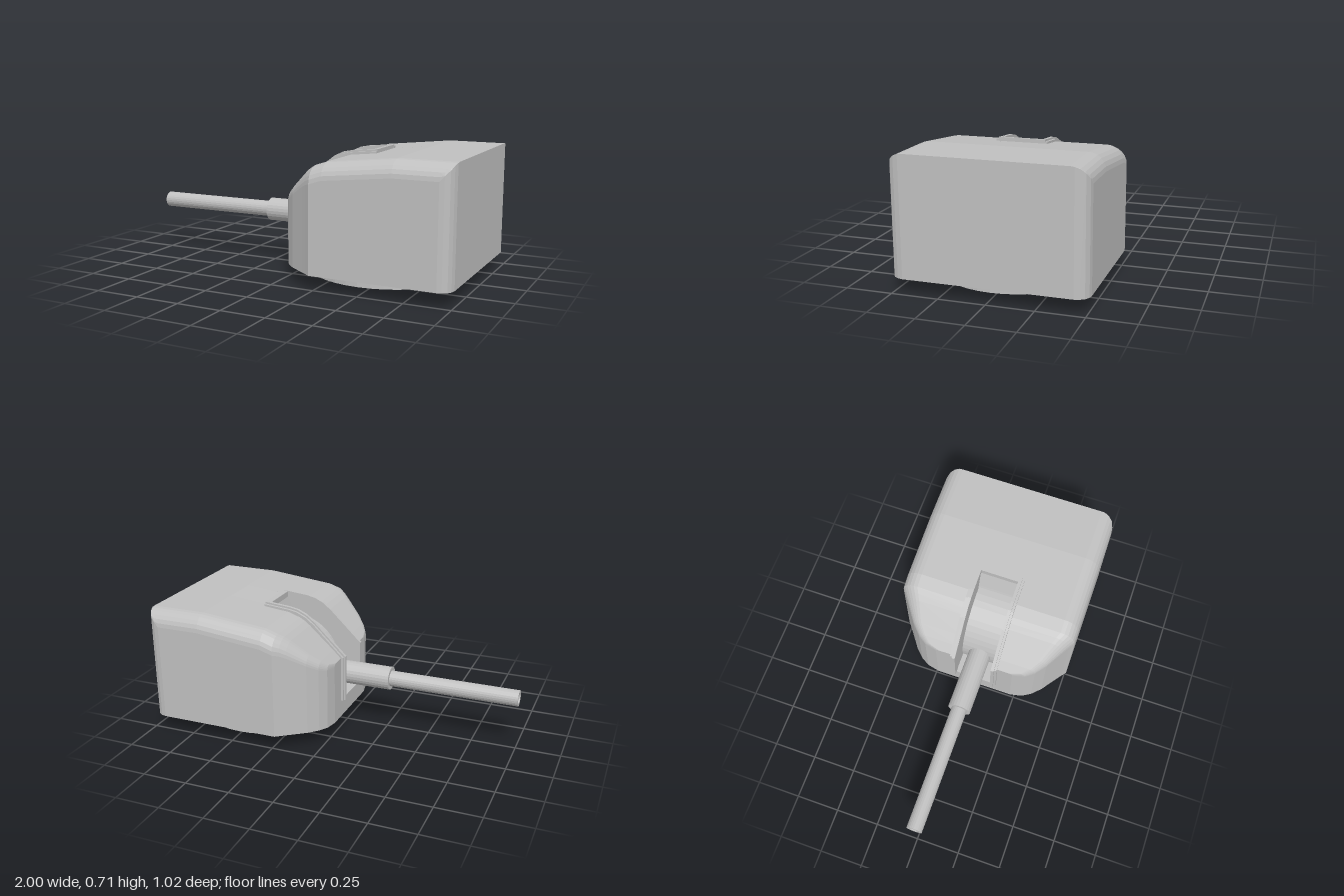
import * as THREE from 'three';

const grey = new THREE.MeshStandardMaterial({ color: 0xc0c0c0 });
grey.name = 'plain grey';

// Faceted mesh helper
function part(name, geometry, parent) {
  const g = geometry.index ? geometry.toNonIndexed() : geometry;
  g.computeVertexNormals();
  const mesh = new THREE.Mesh(g, grey);
  mesh.name = name;
  parent.add(mesh);
  return mesh;
}

// Side profile (x, y) extruded across z0..z1
function slab(points, z0, z1) {
  const shape = new THREE.Shape(points.map(([x, y]) => new THREE.Vector2(x, y)));
  return new THREE.ExtrudeGeometry(shape, { depth: z1 - z0, bevelEnabled: false }).translate(0, 0, z0);
}

const SLOT = 0.11, BASE = 0.08;

// Hull stations: x, half width, half width the edge rounding follows, roof height, rounding radius
const STATIONS = [
  [-0.015, 0.23, 0.23, 0.44, 0.02],
  [0, 0.3, 0.3, 0.455, 0.03],
  [0.03, 0.35, 0.35, 0.485, 0.04],
  [0.08, 0.4, 0.4, 0.53, 0.05],
  [0.17, 0.465, 0.465, 0.612, 0.075],
  [0.2, 0.487, 0.487, 0.635, 0.082],
  [0.23, 0.51, 0.51, 0.652, 0.09],
  [0.3, 0.51, 0.51, 0.675, 0.09],
  [0.68, 0.51, 0.51, 0.715, 0.09],
  [0.925, 0.51, 0.51, 0.715, 0.09],
  [0.95, 0.505, 0.51, 0.715, 0.09],
  [0.975, 0.49, 0.51, 0.715, 0.09],
  [0.988, 0.467, 0.51, 0.715, 0.09],
  [0.995, 0.44, 0.51, 0.715, 0.09],
];

// One half of the hull beside the gun slot, lofted along x
function hullSide(side) {
  const steps = 6, count = steps + 4, pos = [], idx = [];
  for (const [x, w, ref, top, r] of STATIONS) {
    const loop = [[SLOT, BASE], [SLOT, top]];
    for (let i = 0; i <= steps; i++) {
      const t = Math.min(r * Math.sin((i / steps) * Math.PI / 2), Math.max(0, w - ref + r));
      loop.push([Math.min(ref - r + t, w), top - r + Math.sqrt(Math.max(0, r * r - t * t))]);
    }
    loop.push([w, BASE]);
    for (const [z, y] of loop) pos.push(x, y, z * side);
  }
  const tri = (a, b, c) => (side > 0 ? idx.push(a, b, c) : idx.push(a, c, b));
  const last = (STATIONS.length - 1) * count;
  for (let i = 0; i < last; i += count) {
    for (let j = 0; j < count; j++) {
      const k = (j + 1) % count;
      tri(i + j, i + k, i + count + k);
      tri(i + j, i + count + k, i + count + j);
    }
  }
  for (let j = 1; j < count - 1; j++) {
    tri(0, j + 1, j);
    tri(last, last + j, last + j + 1);
  }
  const g = new THREE.BufferGeometry();
  g.setAttribute('position', new THREE.Float32BufferAttribute(pos, 3));
  g.setIndex(idx);
  return g;
}

// Slot rim side profile; drop lowers its outer edge
function rimProfile(drop) {
  return [
    [0.01, 0.18], [0.01, 0.42], [0.2, 0.61], [0.3, 0.655], [0.45, 0.68],
    [0.45, 0.712 - drop], [0.3, 0.698 - drop], [0.25, 0.688 - drop], [0.2, 0.665 - drop],
    [0.15, 0.627 - drop], [-0.037 + drop, 0.447 - drop * 0.5], [-0.037 + drop, 0.18],
  ];
}

export function createModel() {
  const model = new THREE.Group();
  model.name = 'gunTurret';

  // Hull: two sides and a notched middle
  const hull = new THREE.Group();
  hull.name = 'hull';
  model.add(hull);
  part('hullLeftHalf', hullSide(1), hull);
  part('hullRightHalf', hullSide(-1), hull);
  part('hullMiddle', slab([
    [-0.015, BASE], [0.995, BASE], [0.995, 0.715], [0.68, 0.715],
    [0.425, 0.688], [0.36, 0.5], [0.36, 0.18], [-0.015, 0.18],
  ], -SLOT, SLOT), hull);

  // Turret ring
  part('turretRing', new THREE.CylinderGeometry(0.446, 0.446, 0.047, 40).translate(0.48, 0.0585, 0), model);

  // Raised stepped rim around the slot
  const rim = new THREE.Group();
  rim.name = 'slotRim';
  model.add(rim);
  for (const s of [-1, 1]) {
    const rail = (name, a, b, drop) =>
      part(name, slab(rimProfile(drop), Math.min(a * s, b * s), Math.max(a * s, b * s)), rim);
    rail('innerRail', 0.108, 0.126, 0);
    rail('outerRail', 0.126, 0.14, 0.01);
  }
  part('rearRail', slab([[0.42, 0.675], [0.449, 0.68], [0.449, 0.711], [0.42, 0.708]], -SLOT, SLOT), rim);

  // Rotating drum that carries the gun
  part('gunDrum', new THREE.CylinderGeometry(0.29, 0.29, 0.21, 48).rotateX(Math.PI / 2).translate(0.375, 0.29, 0), model);

  // Gun: sleeve and hollow barrel turned around the x axis
  const turned = (points) => new THREE.LatheGeometry(points.map(([r, x]) => new THREE.Vector2(r, x)), 24)
    .rotateZ(-Math.PI / 2).translate(0, 0.303, 0);
  part('barrelSleeve', turned([[0, -0.27], [0.066, -0.27], [0.066, 0.15], [0, 0.15]]), model);
  part('barrel', turned([[0, -0.8], [0.029, -0.8], [0.029, -1], [0.045, -1], [0.045, -0.2]]), model);

  return model;
}
